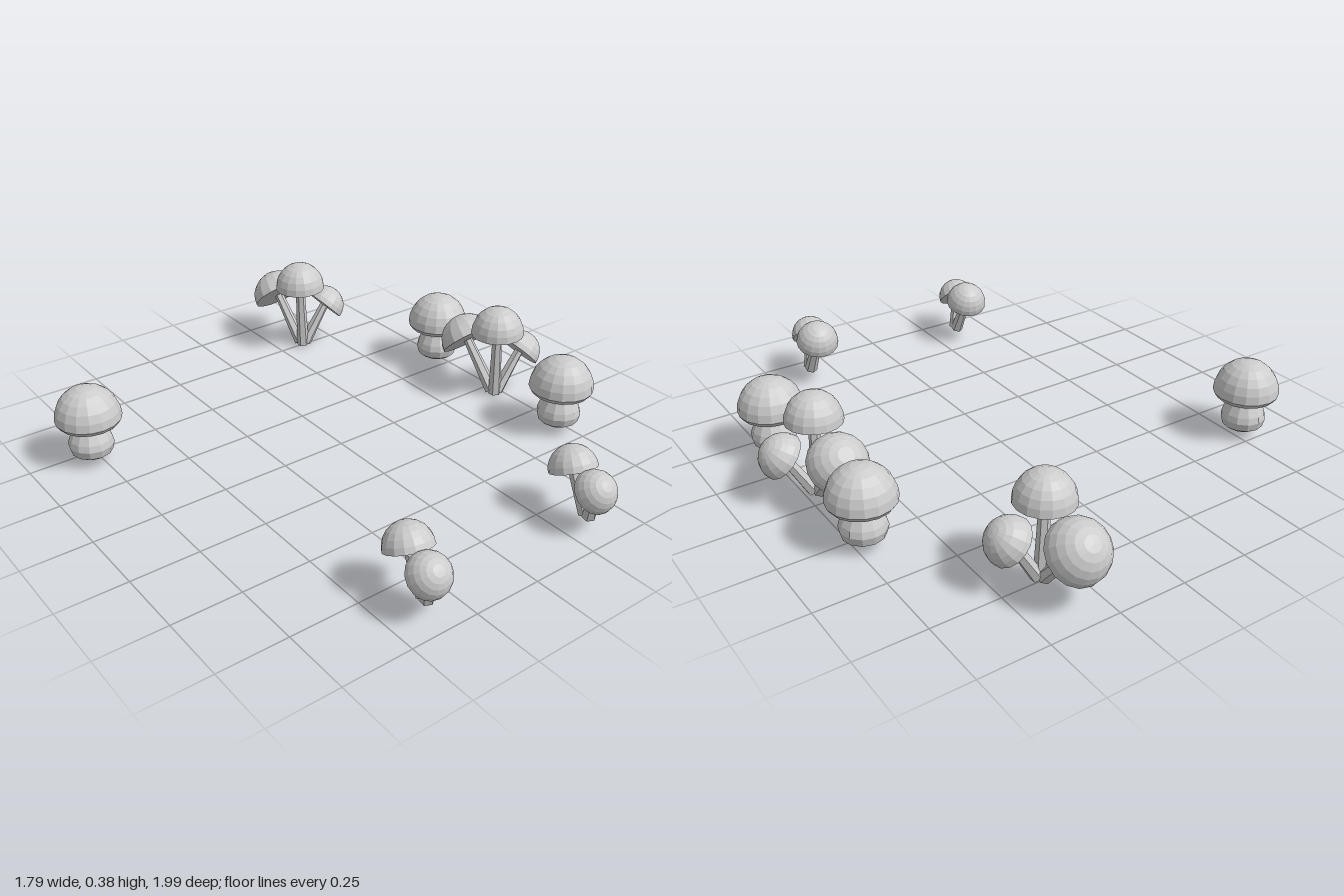
import * as THREE from 'three';

const mat = new THREE.MeshStandardMaterial({ color: 0xcccccc, flatShading: true });
const UP = new THREE.Vector3(0, 1, 0);
const V = (a) => new THREE.Vector3(...a);

function lathe(name, points, segments) {
  const profile = points.map(([r, y]) => new THREE.Vector2(r, y));
  const mesh = new THREE.Mesh(new THREE.LatheGeometry(profile, segments), mat);
  mesh.name = name;
  return mesh;
}

// Dome with a flat underside; its rim lies at y = 0
function dome(radius, height, lip = 0) {
  const points = [[0, -lip]];
  if (lip) points.push([radius * 0.9, -lip]);
  for (let i = 0; i <= 6; i++) {
    const a = (i / 6) * Math.PI / 2;
    points.push([radius * Math.cos(a), height * Math.sin(a)]);
  }
  points[points.length - 1][0] = 0;
  return lathe('cap', points, 16);
}

// Slender faceted stalk from base to cap
function stalk(from, to) {
  const dir = to.clone().sub(from);
  const mesh = new THREE.Mesh(new THREE.CylinderGeometry(0.018, 0.025, dir.length(), 6), mat);
  mesh.name = 'stem';
  mesh.position.copy(from).addScaledVector(dir, 0.5);
  mesh.quaternion.setFromUnitVectors(UP, dir.normalize());
  return mesh;
}

// Leaning mushrooms that share one foot
function cluster(name, specs) {
  const group = new THREE.Group();
  group.name = name;
  for (const { foot, centre, axis, r, h } of specs) {
    const cap = dome(r, h);
    cap.position.set(...centre);
    cap.quaternion.setFromUnitVectors(UP, V(axis).normalize());
    group.add(cap, stalk(V(foot), V(centre)));
  }
  return group;
}

// Stout mushroom with a bulbous stem
function stoutMushroom(x, z) {
  const group = new THREE.Group();
  group.name = 'stoutMushroom';
  const cap = dome(0.119, 0.122, 0.017);
  cap.position.y = 0.182;
  const stem = lathe('bulbousStem', [
    [0, 0.035], [0.055, 0.037], [0.074, 0.05], [0.082, 0.08],
    [0.076, 0.103], [0.059, 0.135], [0.052, 0.17],
  ], 12);
  group.add(cap, stem);
  group.position.set(x, 0, z);
  return group;
}

const TRIO = [
  { foot: [0.35, 0.012, -0.74], centre: [0.337, 0.28, -0.735], axis: [-0.03, 1, 0], r: 0.101, h: 0.107 },
  { foot: [0.348, 0.018, -0.755], centre: [0.335, 0.19, -0.892], axis: [0, 1, -1], r: 0.107, h: 0.105 },
  { foot: [0.362, 0.018, -0.74], centre: [0.453, 0.172, -0.725], axis: [1, 1, 0.08], r: 0.083, h: 0.083 },
];

const PAIR = [
  { foot: [0.35, 0.035, 0.872], centre: [0.34, 0.18, 0.808], axis: [0.08, 1, -0.45], r: 0.083, h: 0.085 },
  { foot: [0.348, 0.035, 0.888], centre: [0.317, 0.16, 0.922], axis: [-0.1, 1, 1], r: 0.075, h: 0.075 },
];

export function createModel() {
  const model = new THREE.Group();
  model.name = 'mushrooms';

  // Stout single mushrooms
  for (const [x, z] of [[-0.78, -0.445], [0.715, -0.29], [0.715, 0.4]]) model.add(stoutMushroom(x, z));

  // Groups of three
  for (const [x, z] of [[0, 0], [0.358, 0.81]]) {
    const trio = cluster('mushroomTrio', TRIO);
    trio.position.set(x, 0, z);
    model.add(trio);
  }

  // Small pairs at the front
  for (const x of [0, -0.7]) {
    const pair = cluster('mushroomPair', PAIR);
    pair.position.x = x;
    model.add(pair);
  }
  return model;
}
